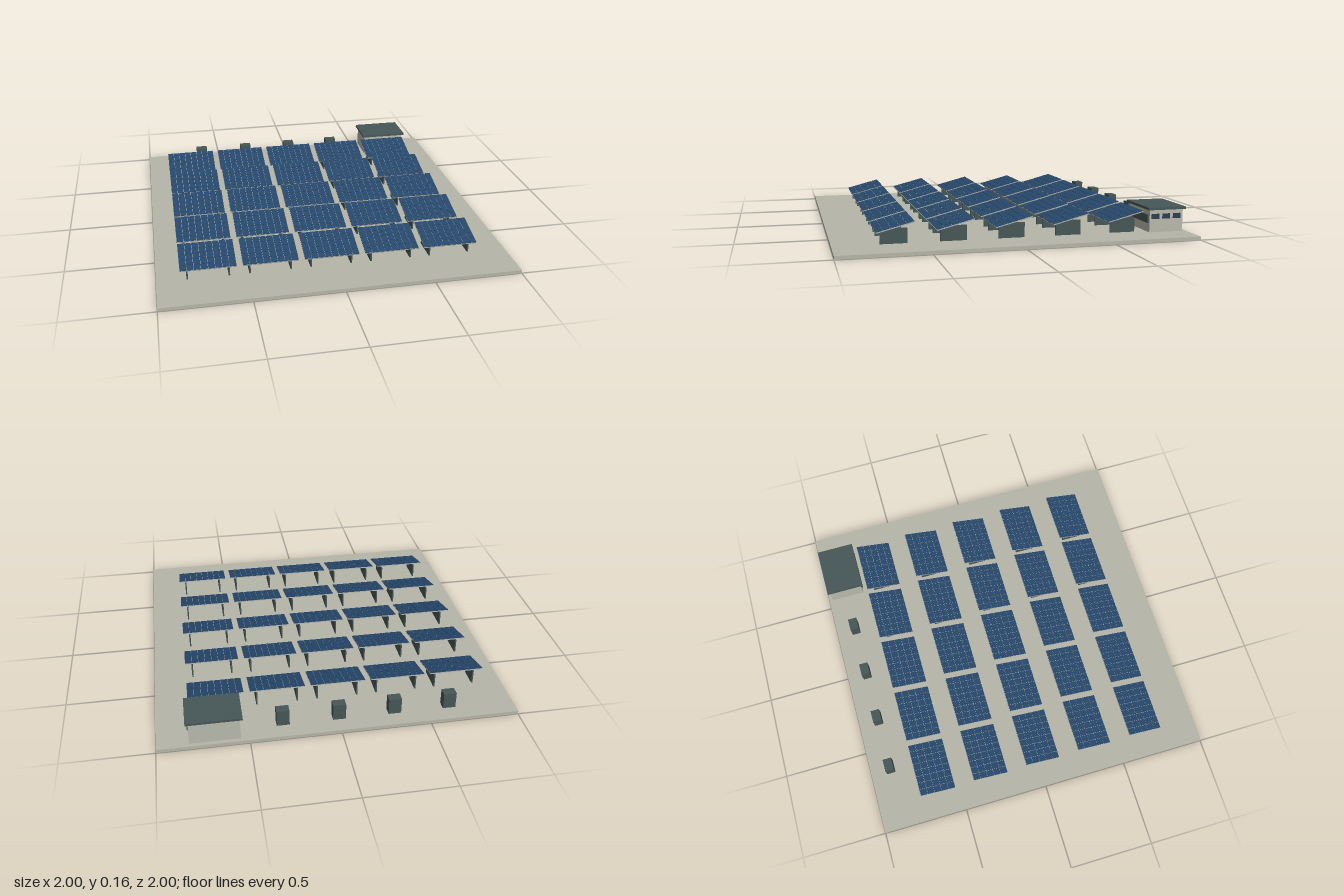
import * as THREE from 'three';
import { mergeGeometries } from 'three/addons/utils/BufferGeometryUtils.js';

const mat = (name, color) => {
  const m = new THREE.MeshStandardMaterial({ color });
  m.name = name;
  return m;
};

function box(parent, name, material, [w, h, d], [x, y, z]) {
  const mesh = new THREE.Mesh(new THREE.BoxGeometry(w, h, d), material);
  mesh.name = name;
  mesh.position.set(x, y, z);
  parent.add(mesh);
  return mesh;
}

export function createModel() {
  const concrete = mat('concrete', 0xb5b5a8);
  const steel = mat('dark steel', 0x465656);
  const cellBlue = mat('cell blue', 0x27486c);
  const frameGrey = mat('frame grey', 0xa9aca6);
  const wallGrey = mat('wall grey', 0xb8b9ac);
  const glass = mat('window glass', 0x2c3f52);

  const model = new THREE.Group();
  model.name = 'solarFarm';

  // Ground slab
  box(model, 'groundSlab', concrete, [2, 0.02, 2], [0, 0.01, 0]);

  // One shared grid of 8 x 5 cells with fine gaps
  const W = 0.31, D = 0.214, NX = 8, NZ = 5, gap = 0.002;
  const cells = [];
  for (let i = 0; i < NX; i++) {
    for (let j = 0; j < NZ; j++) {
      const g = new THREE.BoxGeometry(W / NX - gap, 0.002, D / NZ - gap);
      g.translate((i + 0.5 - NX / 2) * W / NX, 0.004, (j + 0.5 - NZ / 2) * D / NZ);
      cells.push(g);
    }
  }
  const cellGrid = mergeGeometries(cells);

  // Tilted panel tables, five rows of five, each on two plate supports
  for (let row = 0; row < 5; row++) {
    for (let col = 0; col < 5; col++) {
      const table = new THREE.Group();
      table.name = 'panelTable';
      table.position.set(-0.715 + col * 0.344, 0, -0.634 + row * 0.325);
      model.add(table);

      const panel = new THREE.Group();
      panel.name = 'panel';
      panel.position.y = 0.114;
      panel.rotation.x = THREE.MathUtils.degToRad(14.5);
      table.add(panel);
      box(panel, 'panelFrame', frameGrey, [W, 0.006, D], [0, 0, 0]);
      const grid = new THREE.Mesh(cellGrid, cellBlue);
      grid.name = 'panelCells';
      panel.add(grid);

      for (const side of [-1, 1]) {
        box(table, 'supportPlate', steel, [0.008, 0.084, 0.147], [side * 0.115, 0.062, 0.006]);
      }
    }
  }

  // Inverter cabinets along the back
  for (let i = 0; i < 4; i++) {
    box(model, 'inverterCabinet', steel, [0.072, 0.095, 0.052], [-0.628 + i * 0.313, 0.0675, -0.88]);
  }

  // Control building with overhanging flat roof
  const house = new THREE.Group();
  house.name = 'controlBuilding';
  house.position.set(0.686, 0, -0.875);
  model.add(house);
  box(house, 'walls', wallGrey, [0.276, 0.13, 0.203], [0, 0.085, 0]);
  box(house, 'roof', steel, [0.304, 0.014, 0.226], [0, 0.156, 0]);
  box(house, 'frontWindowBand', steel, [0.256, 0.047, 0.009], [0, 0.0965, 0.106]);
  for (const z of [-0.063, 0.002, 0.067]) {
    box(house, 'sideWindow', glass, [0.006, 0.029, 0.045], [0.14, 0.111, z]);
  }
  return model;
}
